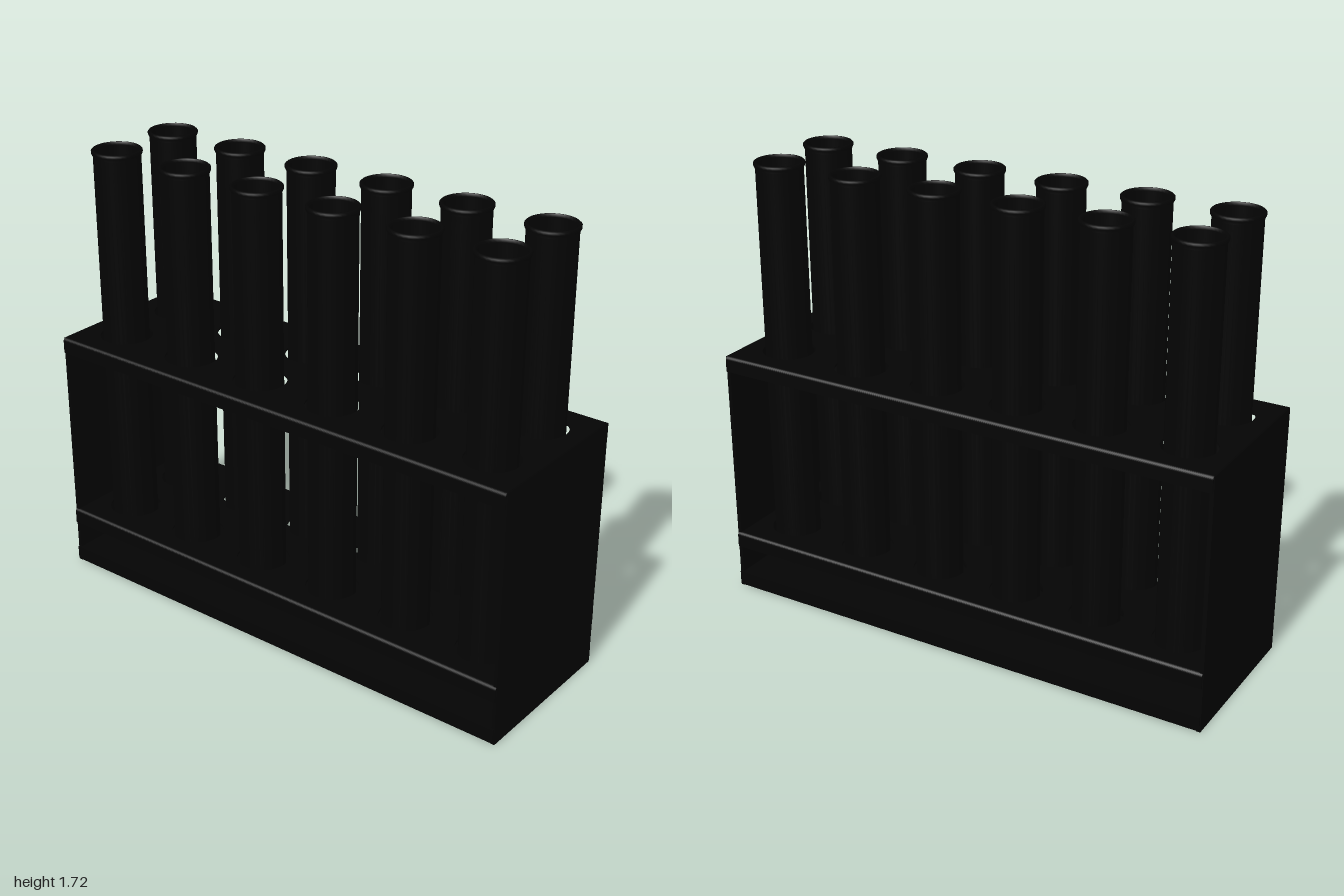
import * as THREE from 'three';

const black = new THREE.MeshStandardMaterial({ color: 0x040404 });
black.name = 'black';

const columns = [-0.83, -0.498, -0.166, 0.166, 0.498, 0.83];
const rows = [-0.15, 0.15];
const halfWidth = 0.994, halfDepth = 0.326, sheet = 0.009, bend = 0.014;

// Extrudes a cross-section (z, y) along the length of the rack
function alongRack(shape) {
  const geometry = new THREE.ExtrudeGeometry(shape, { depth: 2 * halfWidth, bevelEnabled: false, curveSegments: 6 });
  geometry.translate(0, 0, -halfWidth);
  return geometry.rotateY(Math.PI / 2);
}

// Base slab with rounded lower edges
function baseGeometry(height) {
  const d = halfDepth, shape = new THREE.Shape();
  shape.moveTo(bend - d, 0).lineTo(d - bend, 0);
  shape.absarc(d - bend, bend, bend, -Math.PI / 2, 0, false);
  shape.lineTo(d, height).lineTo(-d, height);
  shape.absarc(bend - d, bend, bend, Math.PI, Math.PI * 1.5, false);
  return alongRack(shape);
}

// Sheet with tube holes, its upper face on y = 0
function sheetGeometry() {
  const w = halfWidth, d = halfDepth - bend;
  const shape = new THREE.Shape();
  shape.moveTo(-w, -d).lineTo(w, -d).lineTo(w, d).lineTo(-w, d).closePath();
  for (const x of columns) for (const z of rows) {
    const hole = new THREE.Path();
    hole.absarc(x, z, 0.1, 0, Math.PI * 2, true);
    shape.holes.push(hole);
  }
  const geometry = new THREE.ExtrudeGeometry(shape, { depth: sheet, bevelEnabled: false, curveSegments: 16 });
  geometry.rotateX(-Math.PI / 2);
  return geometry.translate(0, -sheet, 0);
}

// Long edge bent down from the sheet
function flangeGeometry(height) {
  const d = halfDepth, shape = new THREE.Shape();
  shape.moveTo(d - bend, 0);
  shape.absarc(d - bend, -bend, bend, Math.PI / 2, 0, true);
  shape.lineTo(d, -height).lineTo(d - sheet, -height);
  shape.absarc(d - bend, -bend, bend - sheet, 0, Math.PI / 2, false);
  shape.closePath();
  return alongRack(shape);
}

// Open tube with a round bottom, rolled lip and inner wall
function tubeGeometry() {
  const r = 0.088, wall = 0.08, low = 0.07, top = 1.715;
  const points = [];
  const add = (x, y) => points.push(new THREE.Vector2(x, y));
  for (let i = 0; i <= 8; i++) {
    const a = (i / 8) * Math.PI / 2;
    add(r * Math.sin(a), low + r - r * Math.cos(a));
  }
  add(r, top - 0.025);
  add(0.094, top - 0.012);
  add(0.094, top - 0.004);
  add(0.09, top);
  add(wall + 0.004, top);
  add(wall, top - 0.01);
  for (let i = 8; i >= 0; i--) {
    const a = (i / 8) * Math.PI / 2;
    add(wall * Math.sin(a), low + r - wall * Math.cos(a));
  }
  return new THREE.LatheGeometry(points, 32);
}

export function createModel() {
  const model = new THREE.Group();
  model.name = 'testTubeRack';
  const addPart = (parent, name, geometry) => {
    const mesh = new THREE.Mesh(geometry, black);
    mesh.name = name;
    parent.add(mesh);
    return mesh;
  };

  addPart(model, 'base', baseGeometry(0.063));

  // Two pierced shelves, folded down along the front and back
  const plate = sheetGeometry(), flange = flangeGeometry(0.061);
  for (const [name, top] of [['lowerShelf', 0.237], ['upperShelf', 0.98]]) {
    const shelf = new THREE.Group();
    shelf.name = name;
    shelf.position.y = top;
    addPart(shelf, 'plate', plate);
    for (const turn of [0, Math.PI]) addPart(shelf, 'flange', flange).rotation.y = turn;
    model.add(shelf);
  }

  // End panels
  const panel = new THREE.BoxGeometry(0.015, 0.978, 0.638);
  for (const side of [-1, 1]) {
    addPart(model, side > 0 ? 'leftPanel' : 'rightPanel', panel).position.set(side * 0.9895, 0.489, 0);
  }

  // Two rows of tubes
  const tube = tubeGeometry();
  for (const z of rows) for (const x of columns) {
    addPart(model, 'testTube', tube).position.set(x, 0, z);
  }

  // The rack stands very slightly turned
  model.rotation.y = -0.009;
  return model;
}
